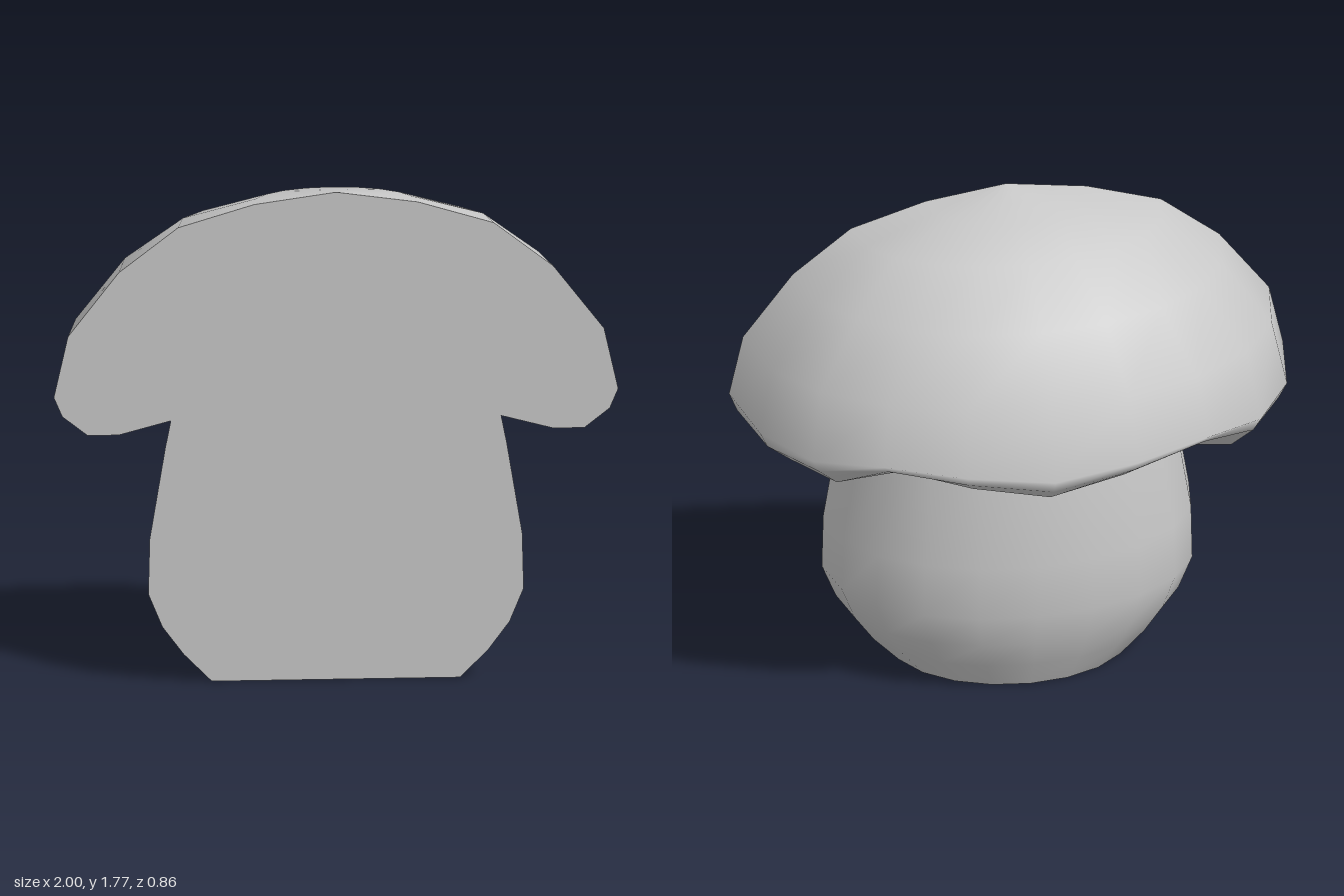
import * as THREE from 'three';

const FRONT = 0.43; // z of the flat cut face
const SEG = 10;     // sides around the half circle

// Skin of half-oval rings. Each ring: [half width, depth, y or list of y from side to back]
function halfLoft(rings) {
  const pos = [], index = [];
  for (const [a, b, y] of rings) {
    for (let i = 0; i <= SEG; i++) {
      const t = (i / SEG) * Math.PI;
      const s = Math.max(0, Math.sin(t));
      const h = Array.isArray(y) ? y[Math.min(i, SEG - i)] : y;
      pos.push(a * Math.cos(t), h, FRONT - b * Math.pow(s, 0.88));
    }
  }
  const w = SEG + 1;
  for (let r = 0; r < rings.length - 1; r++) {
    for (let i = 0; i < SEG; i++) {
      const p = r * w + i;
      if (rings[r][0] > 0) index.push(p, p + w, p + 1);
      if (rings[r + 1][0] > 0) index.push(p + 1, p + w, p + w + 1);
    }
  }
  const g = new THREE.BufferGeometry();
  g.setAttribute('position', new THREE.Float32BufferAttribute(pos, 3));
  g.setIndex(index);
  g.computeVertexNormals();
  return g;
}

// Flat front face, mirrored from the widths of the rings
function cutFace(rings) {
  const right = rings.map(([a, , y]) => new THREE.Vector2(a, Array.isArray(y) ? y[0] : y));
  const left = right.filter((p) => p.x > 0).map((p) => new THREE.Vector2(-p.x, p.y)).reverse();
  const g = new THREE.ShapeGeometry(new THREE.Shape([...right, ...left]));
  g.translate(0, 0, FRONT);
  return g;
}

export function createModel() {
  const group = new THREE.Group();
  const grey = new THREE.MeshStandardMaterial({ color: 0xc8c8c8 });
  grey.name = 'plain grey';
  const add = (name, geometry) => {
    const mesh = new THREE.Mesh(geometry, grey);
    mesh.name = name;
    group.add(mesh);
  };

  // Cap: dome down to a wavy lip
  const lip = [0.88, 0.77, [0.9, 0.9, 0.9, 1.0, 0.955, 0.91]];
  const dome = [
    [0, 0, 1.77],
    [0.29, 0.25, 1.73],
    [0.56, 0.41, 1.65],
    [0.77, 0.63, 1.49],
    [0.95, 0.765, 1.26],
    [1.0, 0.86, [1.04, 1.03, 1.02, 1.06, 1.04, 1.01]],
    [0.97, 0.83, [0.97, 0.97, 0.97, 1.03, 1.0, 0.96]],
    lip,
  ];
  // Underside of the cap, running in to the stem
  const underside = [
    lip,
    [0.77, 0.66, [0.9, 0.95, 0.97, 1.02, 1.01, 1.0]],
    [0.58, 0.45, 0.95],
    [0, 0, 0.95],
  ];
  add('capDome', halfLoft(dome));
  add('capUnderside', halfLoft(underside));
  add('capCutFace', cutFace([...dome, ...underside.slice(1)]));

  // Stem: bulging half column with a flat base
  const stem = [
    [0.585, 0.48, 0.95],
    [0.605, 0.5, 0.85],
    [0.66, 0.55, 0.52],
    [0.665, 0.545, 0.32],
    [0.615, 0.52, 0.2],
    [0.54, 0.48, 0.1],
    [0.44, 0.43, 0],
  ];
  add('stemSide', halfLoft(stem));
  add('stemBase', halfLoft([[0.44, 0.43, 0], [0, 0, 0]]));
  add('stemCutFace', cutFace(stem));

  return group;
}
